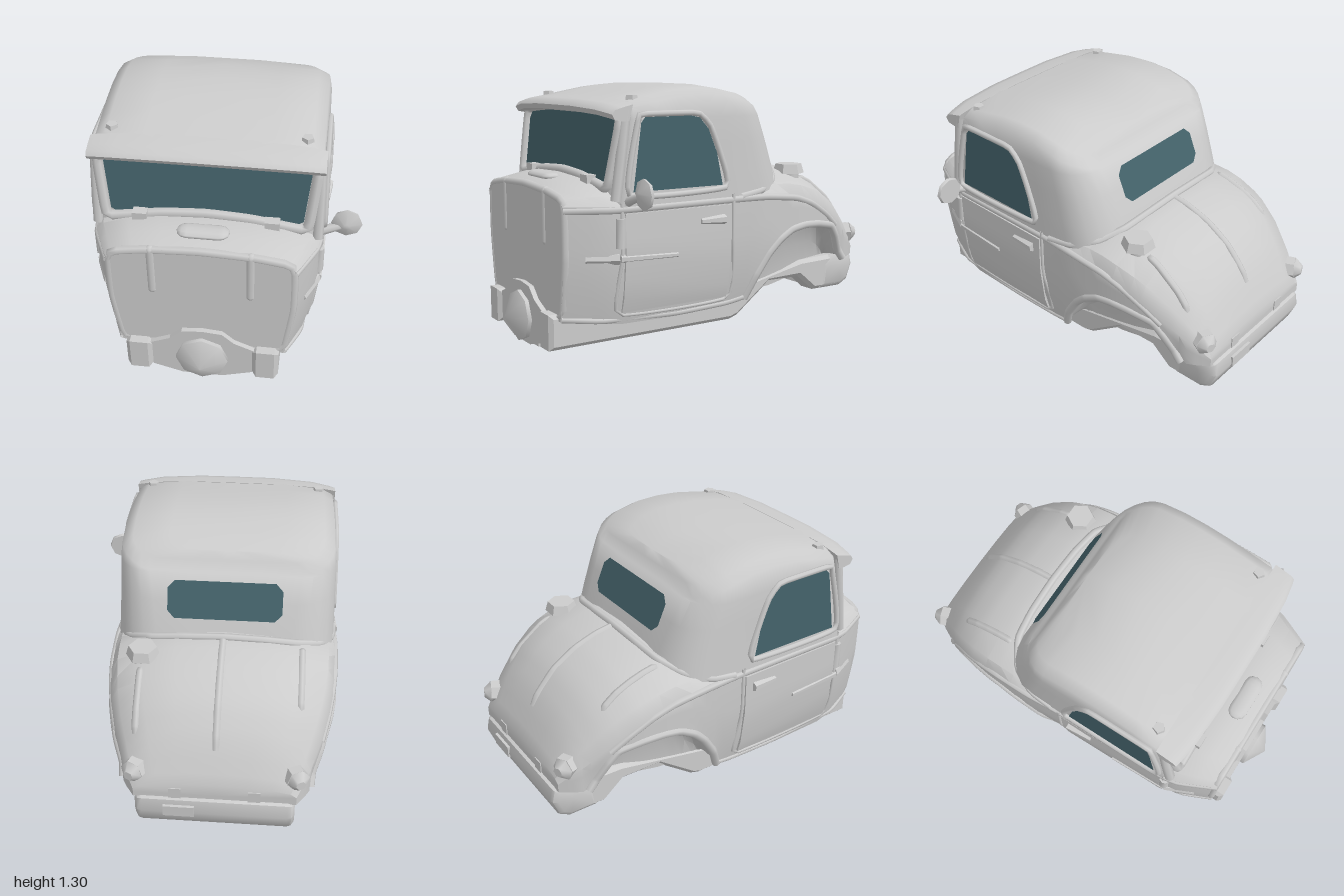
import * as THREE from 'three';
import { toCreasedNormals } from 'three/addons/utils/BufferGeometryUtils.js';

const grey = new THREE.MeshStandardMaterial({ color: 0xcccccc, side: THREE.DoubleSide });
const glass = new THREE.MeshStandardMaterial({ color: 0x44626a, side: THREE.DoubleSide });
const V = (x, y, z) => new THREE.Vector3(x, y, z);

// Linear lookup in a table of [key, value], keys ascending
function lerp(table, k) {
  if (k <= table[0][0]) return table[0][1];
  for (let i = 1; i < table.length; i++) {
    const [a, va] = table[i - 1], [b, vb] = table[i];
    if (k <= b) return va + (vb - va) * (k - a) / (b - a);
  }
  return table[table.length - 1][1];
}

// Body rules along z: half width, deck height, shoulder height, lower edge with wheel arch, floor
const WIDTH = [[-.96, .39], [-.88, .445], [-.82, .47], [-.74, .503], [-.61, .54], [-.45, .563], [-.2, .568], [0, .556], [.6, .55], [.7, .533], [.86, .46], [.885, .445]];
const TOP = [[-.96, .42], [-.935, .47], [-.875, .59], [-.82, .665], [-.74, .75], [-.61, .83], [-.5, .865], [-.38, .885], [0, .8], [.6, .84], [.7, .865], [.86, .835], [.885, .82]];
const SHOULDER = [[-.96, .37], [-.9, .43], [-.82, .49], [-.74, .56], [-.61, .65], [-.5, .69], [-.3, .73], [.6, .745], [.885, .75]];
const LOW = [[-.83, .325], [-.79, .38], [-.74, .47], [-.69, .53], [-.57, .555], [-.47, .56], [-.38, .545], [-.3, .5], [-.23, .43], [-.16, .32], [-.11, .2], [0, .18], [.3, .165], [.6, .17], [.885, .2]];
const FLOOR = [[-.8, .31], [-.6, .25], [-.35, .2]];
const TAPER = [[.18, .89], [.3, .955], [.5, 1]];
const DOME = [[0, 1], [.4, .93], [.7, .75], [.93, .4], [1, 0]];
const sideX = (y, z) => lerp(WIDTH, z) * lerp(TAPER, z < -.82 ? 1 : y);
const deckY = (x, z) => {
  const s = lerp(SHOULDER, z);
  return s + (lerp(TOP, z) - s) * lerp(DOME, Math.abs(x) / lerp(WIDTH, z));
};

// Half outline from centre to centre, completed by its mirror image
const mirrorRing = h => [...h, ...h.slice(1, -1).reverse().map(p => V(-p.x, p.y, p.z))];
const mirrorFlat = h => [...h, ...h.slice(1, -1).reverse().map(([x, y]) => [-x, y])];

// Closed skin through equal-length rings with end caps, turned outward
function loft(rings, crease = 0.6) {
  const n = rings[0].length, pos = rings.flat().flatMap(p => p.toArray()), idx = [];
  for (let i = 0; i < rings.length - 1; i++) for (let j = 0; j < n; j++) {
    const a = i * n + j, b = i * n + (j + 1) % n;
    idx.push(a, b, a + n, b, b + n, a + n);
  }
  [0, rings.length - 1].forEach((r, end) => {
    const c = rings[r].reduce((s, p) => s.add(p), V(0, 0, 0)).divideScalar(n), ci = pos.length / 3;
    pos.push(c.x, c.y, c.z);
    for (let j = 0; j < n; j++) {
      const a = r * n + j, b = r * n + (j + 1) % n;
      idx.push(ci, end ? a : b, end ? b : a);
    }
  });
  const at = i => V(pos[3 * i], pos[3 * i + 1], pos[3 * i + 2]);
  let vol = 0;
  for (let i = 0; i < idx.length; i += 3) vol += at(idx[i]).dot(at(idx[i + 1]).cross(at(idx[i + 2])));
  if (vol < 0) idx.reverse();
  const g = new THREE.BufferGeometry();
  g.setAttribute('position', new THREE.Float32BufferAttribute(pos, 3));
  g.setIndex(idx);
  return toCreasedNormals(g, crease);
}

export function createModel() {
  const model = new THREE.Group(), car = new THREE.Group();
  model.name = 'vintageCab';
  car.name = 'body';
  car.position.x = -.073;
  model.add(car);
  const add = (name, geo, mat = grey) => {
    const m = new THREE.Mesh(geo, mat);
    m.name = name;
    car.add(m);
    return m;
  };
  const box = (name, w, h, d, x, y, z) => add(name, new THREE.BoxGeometry(w, h, d)).position.set(x, y, z);
  const rod = (name, a, b, ra, rb = ra, sides = 8) => {
    const m = add(name, toCreasedNormals(new THREE.CylinderGeometry(rb, ra, a.distanceTo(b), sides), 0.9));
    m.position.copy(a).lerp(b, .5);
    m.quaternion.setFromUnitVectors(V(0, 1, 0), b.clone().sub(a).normalize());
    return m;
  };
  const bead = (name, pts, r, closed = false) =>
    add(name, new THREE.TubeGeometry(new THREE.CatmullRomCurve3(pts, closed, 'catmullrom', .2), pts.length * 5, r, 7, closed));
  // Flat pane from outline points, placed in space by a rule
  const pane = (name, pts, place) => {
    const g = new THREE.ShapeGeometry(new THREE.Shape(pts.map(p => new THREE.Vector2(...p))));
    const p = g.attributes.position;
    for (let i = 0; i < p.count; i++) p.setXYZ(i, ...place(p.getX(i), p.getY(i)).toArray());
    g.computeVertexNormals();
    add(name, g, glass);
  };

  // Cowl, lower cab, wheel wells and rear deck in one skin
  const stations = [.885, .86, .78, .7, .6, .3, 0, -.1, -.13, -.17, -.23, -.3, -.38, -.47, -.57, -.63, -.69, -.74, -.78, -.82, -.86, -.9, -.935, -.96];
  add('lowerBody', loft(stations.map(z => {
    const w = lerp(WIDTH, z), low = lerp(LOW, z), f = Math.min(lerp(FLOOR, z), low + .02), s = lerp(SHOULDER, z);
    const half = [V(0, f, z), V(.65 * w, f, z), V(.68 * w, f + (low - f) * .55, z), V(.77 * w, f + (low - f) * .88, z), V(sideX(low, z) - .03, low, z)];
    for (const t of [0, .3, .65, 1]) { const y = low + (s - low) * t; half.push(V(sideX(y, z), y, z)); }
    for (const t of [.93, .7, .4, 0]) half.push(V(t * w, deckY(t * w, z), z));
    return mirrorRing(half);
  })));

  // Cab top: plan loops stacked upward, roof following its arched line
  const ROOF = [[-.235, 1.185], [-.19, 1.225], [-.02, 1.285], [.125, 1.305], [.32, 1.29], [.6, 1.237]];
  const cabLoop = (yAt, f, b, hw, rad) => {
    const r = Math.min(rad, hw), c = Math.min(.04, hw), pts = [[0, f], [hw * .5, f], [hw - c, f], [hw, f - c]];
    for (const t of [.2, .4, .6, .8]) pts.push([hw, f - c + (b + r - f + c) * t]);
    for (let i = 0; i <= 5; i++) {
      const a = i * Math.PI / 10;
      pts.push([hw - r + r * Math.cos(a), b + r - r * Math.sin(a)]);
    }
    pts.push([(hw - r) * .5, b], [0, b]);
    return mirrorRing(pts.map(([x, z]) => V(x, yAt(z), z)));
  };
  const level = y => () => y, under = d => z => lerp(ROOF, z) - d;
  add('cabTop', loft([
    cabLoop(level(.74), .665, -.395, .553, .22), cabLoop(level(.88), .645, -.35, .55, .21),
    cabLoop(level(1.02), .625, -.295, .547, .19), cabLoop(level(1.145), .605, -.24, .545, .17),
    cabLoop(under(.045), .6, -.225, .533, .16), cabLoop(under(.015), .595, -.2, .48, .14),
    cabLoop(under(0), .59, -.165, .29, .13), cabLoop(under(0), .59, -.165, 0, .13)], 1));

  // Sun visor across the windscreen head
  add('visor', loft([-.55, -.52, -.42, -.2, 0, .2, .42, .52, .55].map(x => {
    const e = (Math.abs(x) / .55) ** 4;
    return [[.57, 1.245], [.66, 1.232], [.7, 1.22], [.715, 1.2], [.7, 1.175], [.66, 1.168], [.59, 1.17]].map(([z, y]) => V(x, y - .03 * e, z - (z > .6 ? .035 * e : 0)));
  }), .8));

  // Windscreen with frame
  const screen = mirrorFlat([[0, .885], [.2, .875], [.43, .845], [.46, .865], [.487, 1.11], [.465, 1.15], [.25, 1.168], [0, 1.172]]);
  const onScreen = (x, y) => V(x, y, .677 - (y - .78) * .165);
  pane('windscreen', screen, onScreen);
  bead('windscreenFrame', screen.map(([x, y]) => onScreen(x * 1.055, 1.01 + (y - 1.01) * 1.12)), .026, true);

  // Rear window
  const rear = mirrorFlat([[0, .94], [.25, .94], [.285, .975], [.285, 1.08], [.25, 1.115], [0, 1.115]]);
  pane('rearWindow', rear, (x, y) => V(x, y, -.328 + (y - .96) * .435));

  // Features found on both sides
  for (const s of [1, -1]) {
    const onSide = (z, y, out = 0) => V(s * (sideX(y, z) + out), y, z);
    const onCab = (z, y) => V(s * (.557 - (y - .78) * .02), y, z);
    const win = [[.575, .81], [.527, 1.13], [.505, 1.155], [.25, 1.155], [.2, 1.145], [.15, 1.09], [.1, .97], [.067, .81]];
    pane('sideWindow', win, onCab);
    bead('sideWindowFrame', win.map(([z, y]) => onCab(.32 + (z - .32) * 1.08, .98 + (y - .98) * 1.08)), .015, true);

    // Door skin, gap bead and hardware
    add('door', loft([.615, .015].map(z => {
      const ys = [.23, .3, .4, .5, .6, .71];
      return [...ys.map(y => onSide(z, y, .008)), ...ys.reverse().map(y => onSide(z, y, -.03))];
    })));
    bead('doorSeam', [[.63, .76], [.63, .5], [.63, .22], [0, .22], [0, .5], [0, .76]].map(p => onSide(...p)), .009);
    rod('doorHinge', V(s * .54, .55, .635), V(s * .54, .69, .635), .026);
    rod('doorHandle', V(s * .565, .64, .06), V(s * .563, .64, .2), .026, .014, 6);
    rod('sideSpear', onSide(.64, .5, -.012), onSide(.79, .5, -.014), .03, .018, 6);
    rod('sideSpear', onSide(.64, .5, 0), onSide(.33, .49, .006), .02, .012, 6);

    // Beads on belt line, sill, wheel arch and fender
    bead('beltLine', [[.88, .73], [.7, .73], [.6, .73], [.3, .73], [0, .73], [-.2, .73], [-.4, .71], [-.52, .67], [-.64, .6], [-.73, .53]].map(p => onSide(...p, -.008)), .018);
    bead('sill', [[.88, .21], [.7, .195], [.3, .18], [0, .19], [-.11, .21]].map(p => onSide(...p, -.004)), .014);
    bead('wheelArch', [-.11, -.16, -.23, -.3, -.38, -.47, -.57, -.69, -.74, -.79, -.83].map(z => onSide(z, lerp(LOW, z), -.008)), .022);
    bead('frontPillar', [V(s * .53, .77, .655), V(s * .53, 1, .622), V(s * .525, 1.19, .595)], .026);

    // Lamps, wiper mounts and firewall pipes
    rod('roofLamp', V(s * .455, 1.2, .525), V(s * .455, 1.255, .525), .036, .028, 5);
    rod('tailLamp', V(s * .36, .45, -.85), V(s * .395, .455, -.93), .062, .058, 6);
    rod('tailLampLens', V(s * .395, .455, -.93), V(s * .408, .456, -.965), .058, .025, 6);
    box('wiperMount', .07, .055, .06, s * .315, .85, .68);
    const pipe = add('firewallPipe', new THREE.CapsuleGeometry(.025, .24, 3, 8));
    pipe.position.set(s * .235, .68, .868);

    // Chassis rail with rear kick-up
    const rail = new THREE.Shape([[.93, .055], [-.12, .055], [-.17, .07], [-.38, .225], [-.59, .23], [-.7, .14], [-.9, .14], [-.96, .25], [-.94, .33], [-.6, .32], [-.3, .26], [-.1, .22], [.93, .23]].map(([z, y]) => new THREE.Vector2(-z, y)));
    const railMesh = add('chassisRail', new THREE.ExtrudeGeometry(rail, { depth: .09, bevelSize: .02, bevelThickness: .02, bevelOffset: -.02, bevelSegments: 1 }));
    railMesh.rotation.y = Math.PI / 2;
    railMesh.position.x = s > 0 ? .27 : -.36;
    box('bumperBracket', .06, .06, .08, s * .19, .36, -.925);
  }

  // Firewall rim and cowl vent
  const rimHalf = [[0, .812], [.25, .8], [.41, .775], [.435, .73], [.435, .5], [.4, .25], [.365, .215], [0, .215]];
  bead('firewallRim', mirrorRing(rimHalf.map(([x, y]) => V(x, y, .868))), .022, true);
  const vent = add('cowlVent', new THREE.CapsuleGeometry(.05, .15, 3, 10));
  vent.rotation.z = Math.PI / 2;
  vent.scale.x = .4;
  vent.position.set(0, .85, .77);

  // Rear deck ribs and seam behind the cab
  for (const [x, a, b] of [[-.39, -.4, -.7], [0, -.38, -.87], [.39, -.56, -.8]])
    bead('deckRib', [0, .05, .25, .5, .75, .95, 1].map((t, i) => {
      const z = a + (b - a) * t;
      return V(x, deckY(x, z) - (i % 6 ? .01 : .03), z);
    }), .02);
  const seam = [[.55, -.05], [.54, -.18], [.48, -.3], [.36, -.375], [.2, -.395]];
  bead('cabSeam', [...seam, [0, -.4], ...seam.map(([x, z]) => [-x, z]).reverse()].map(([x, z]) => V(x, deckY(x, z), z)), .02);

  // Fuel filler
  rod('fillerNeck', V(.387, .74, -.49), V(.387, .84, -.49), .055);
  rod('fillerCap', V(.387, .82, -.49), V(.387, .87, -.49), .085, .07, 6).rotateY(Math.PI / 6);

  // Door mirror, left side only
  rod('mirrorArm', V(.5, .75, .6), V(.64, .8, .59), .028, .018);
  rod('mirrorHead', V(.662, .81, .568), V(.662, .81, .585), .07, .075);
  rod('mirrorHead', V(.662, .81, .585), V(.662, .81, .615), .075, .015);

  // Bell housing, nose cone, gearbox and shaft
  const bellHalf = [[0, .325], [.1, .315], [.16, .26], [.3, .2], [.25, .065], [.1, .02], [0, .02]];
  add('bellHousing', loft([.65, .91].map(z => mirrorRing(bellHalf.map(([x, y]) => V(x, y, z)))), .3));
  box('drainBlock', .2, .04, .05, 0, .02, .84);
  rod('noseHub', V(0, .15, .88), V(0, .15, .93), .13);
  rod('noseCone', V(0, .15, .93), V(0, .15, 1), .13, .002);
  rod('gearbox', V(0, .15, .66), V(0, .15, .45), .1, .05);
  rod('driveShaft', V(0, .14, .46), V(0, .14, 0), .025);
  rod('shaftJoint', V(0, .14, .02), V(0, .14, -.04), .04);
  for (const z of [.32, -.12]) rod('crossMember', V(-.3, .13, z), V(.3, .13, z), .022);

  // Rounded rear bar with plate
  const barEdge = [[-.74, .14], [-.9, .14], [-.955, .17], [-.99, .26], [-.975, .325], [-.92, .35], [-.84, .345], [-.76, .28]];
  add('rearBar', loft([[-.385, .75], [-.37, .95], [-.35, 1], [.35, 1], [.37, .95], [.385, .75]].map(([x, k]) =>
    barEdge.map(([z, y]) => V(x, .25 + (y - .25) * k, -.87 + (z + .87) * k))), .8));
  box('plate', .15, .06, .03, .17, .27, -.98);
  return model;
}
